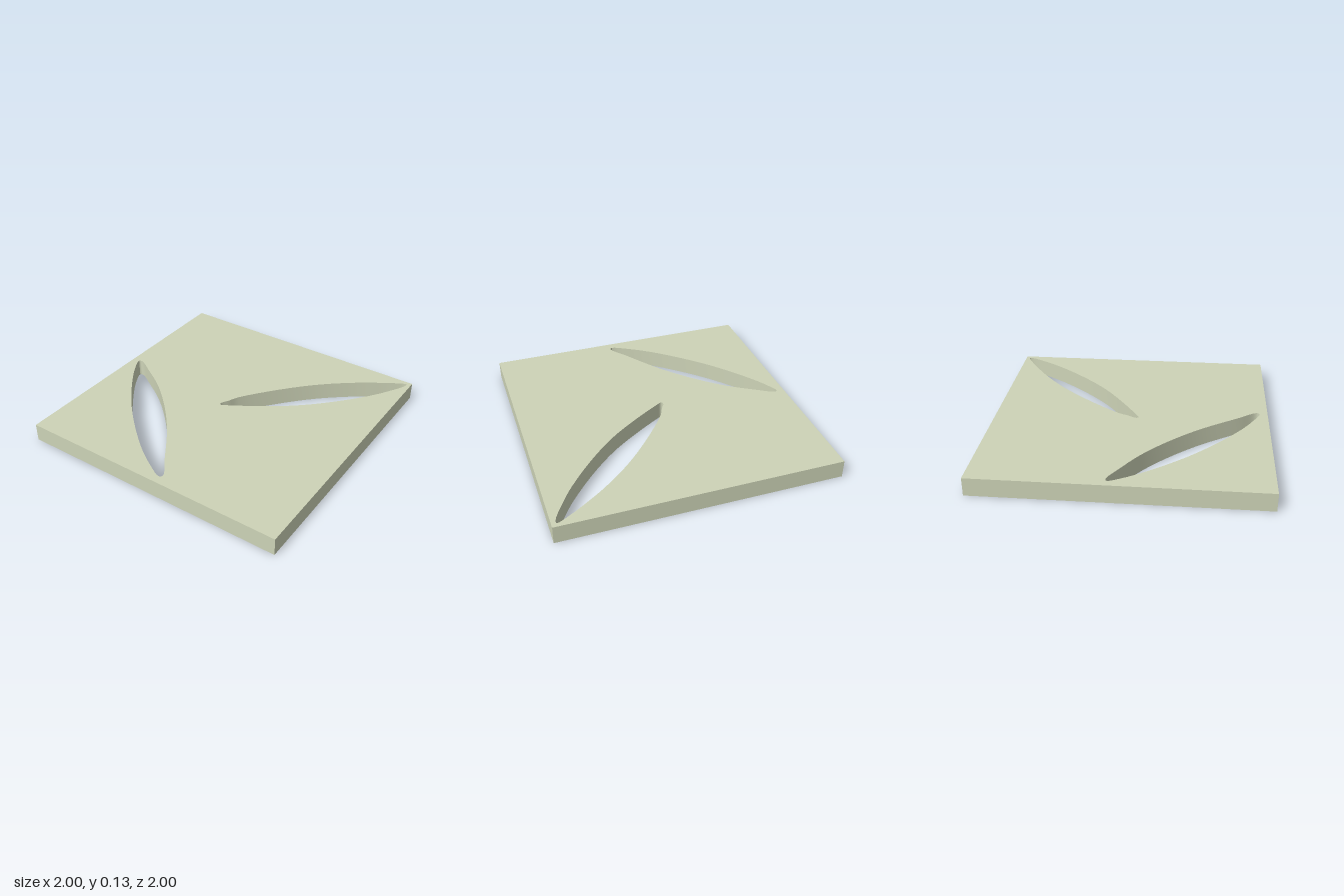
import * as THREE from 'three';
import { toCreasedNormals } from 'three/addons/utils/BufferGeometryUtils.js';

const THICKNESS = 0.13;

// Outlines of the leaf-shaped slots as [x, z]
const backSlot = [
  [0.965, -0.97], [0.87, -0.925], [0.75, -0.85], [0.6, -0.745], [0.4, -0.575], [0.2, -0.36],
  [0, -0.1], [-0.035, -0.025], [-0.067, 0.04], [-0.055, 0.053], [0, 0.025], [0.2, -0.1],
  [0.4, -0.245], [0.6, -0.435], [0.8, -0.67], [0.9, -0.82], [0.965, -0.94],
];
const frontSlot = [
  [-0.945, -0.075], [-0.92, -0.083], [-0.8, -0.015], [-0.6, 0.115], [-0.4, 0.29], [-0.2, 0.51],
  [0, 0.79], [0.09, 0.92], [0.075, 0.942], [-0.045, 0.885], [-0.2, 0.785],
  [-0.4, 0.62], [-0.6, 0.425], [-0.8, 0.18], [-0.905, 0.02],
];

// Smooth closed hole through the outline points
function slotPath(outline) {
  const points = outline.map(([x, z]) => new THREE.Vector3(x, -z, 0));
  const curve = new THREE.CatmullRomCurve3(points, true, 'centripetal');
  return new THREE.Path(curve.getPoints(outline.length * 4).slice(0, -1)
    .map((p) => new THREE.Vector2(p.x, p.y)));
}

export function createModel() {
  const group = new THREE.Group();

  // Square slab pierced by the two slots
  const shape = new THREE.Shape([[-1, -1], [1, -1], [1, 1], [-1, 1]]
    .map(([x, y]) => new THREE.Vector2(x, y)));
  shape.holes.push(slotPath(backSlot), slotPath(frontSlot));
  const geometry = new THREE.ExtrudeGeometry(shape, { depth: THICKNESS, bevelEnabled: false });
  geometry.rotateX(-Math.PI / 2);

  const slab = new THREE.Mesh(
    toCreasedNormals(geometry, 0.6),
    new THREE.MeshStandardMaterial({ color: 0xcdd3b7 }),
  );
  slab.name = 'slottedSlab';
  group.add(slab);
  return group;
}
